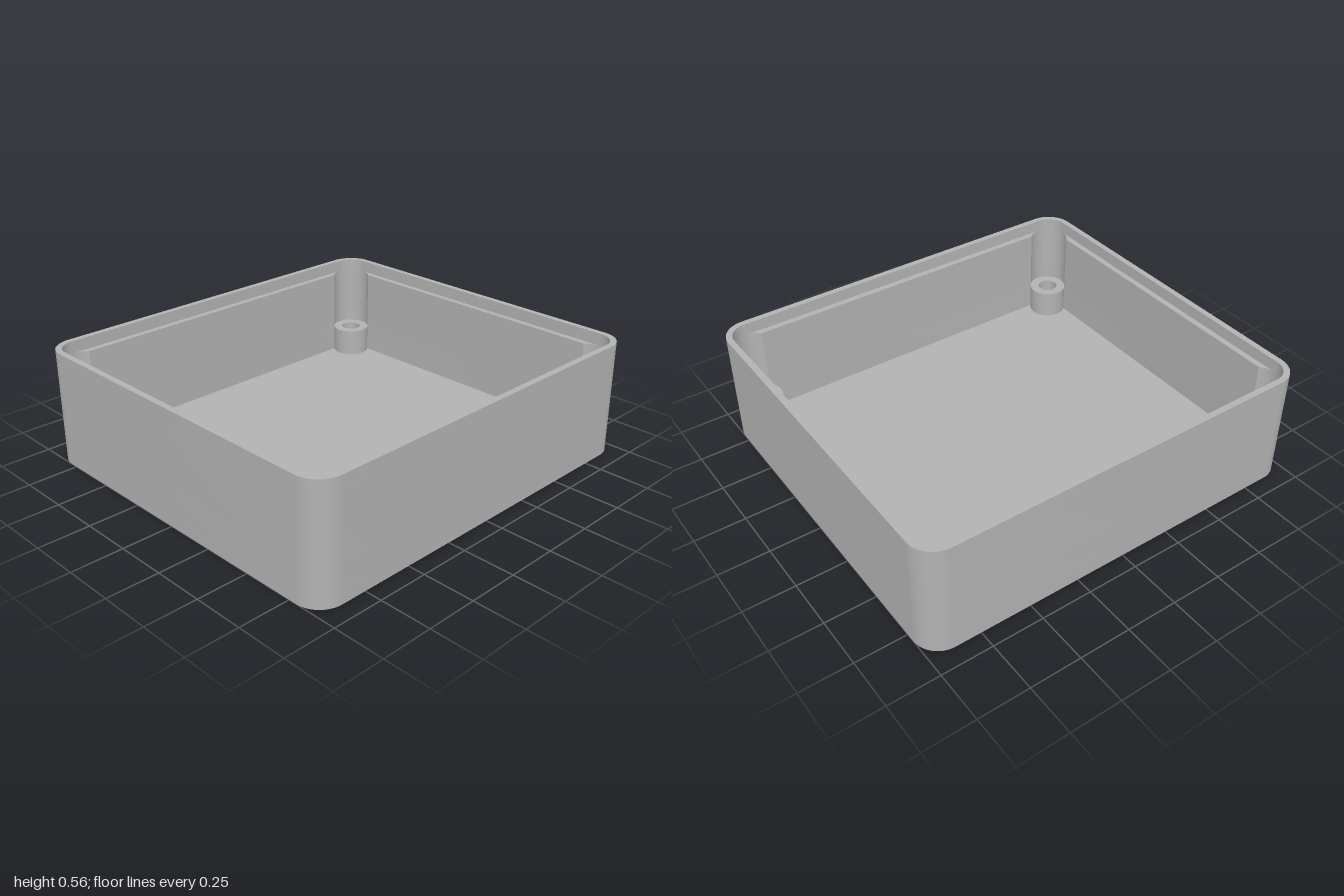
import * as THREE from 'three';
import { toCreasedNormals } from 'three/addons/utils/BufferGeometryUtils.js';

// Screw positions, which are also the centres of the rounded corners
const CX = 0.875, CZ = 0.79;
const FLOOR = 0.06, POST = 0.2, LEDGE = 0.505, TOP = 0.565;
const CORNER_R = 0.125, LIP_R = 0.095, WALL_R = 0.065, HOLE_R = 0.05, SINK_R = 0.09;
const corners = [[1, 1], [-1, 1], [-1, -1], [1, -1]];

// Rounded rectangle; spread lengthens each corner arc into a round pocket
function outline(path, radius, spread = 0) {
  corners.forEach(([sx, sz], i) => {
    const start = i * Math.PI / 2;
    path.absarc(sx * CX, sz * CZ, radius, start - spread, start + Math.PI / 2 + spread, false);
  });
  path.closePath();
  return path;
}

// Slab of the outer outline with the given holes, from height y0 to y1
function layer(holes, y0, y1) {
  const shape = outline(new THREE.Shape(), CORNER_R);
  shape.holes.push(...holes);
  const geo = new THREE.ExtrudeGeometry(shape, { depth: y1 - y0, bevelEnabled: false, curveSegments: 20 });
  geo.rotateX(-Math.PI / 2).translate(0, y0, 0);
  return toCreasedNormals(geo, 0.5);
}

export function createModel() {
  const group = new THREE.Group();
  group.name = 'enclosureBase';
  const plastic = new THREE.MeshStandardMaterial({ color: 0xb2b2b2 });
  plastic.name = 'grey plastic';

  const add = (name, geo) => {
    const mesh = new THREE.Mesh(geo, plastic);
    mesh.name = name;
    group.add(mesh);
    return mesh;
  };

  // Floor, opened at the countersinks
  const sinks = corners.map(([sx, sz]) =>
    new THREE.Path().absarc(sx * CX, sz * CZ, SINK_R, 0, Math.PI * 2, true));
  add('floor', layer(sinks, 0, FLOOR));

  // Walls: plain below the posts, with round corner pockets above them, then the thin lip
  const spread = Math.acos(WALL_R / LIP_R);
  add('lowerWall', layer([outline(new THREE.Path(), WALL_R)], FLOOR, POST));
  add('pocketWall', layer([outline(new THREE.Path(), LIP_R, spread)], POST, LEDGE));
  add('lip', layer([outline(new THREE.Path(), LIP_R)], LEDGE, TOP));

  // Screw posts with a through hole, countersunk from below
  const profile = [
    [LIP_R, 0.05], [LIP_R, POST], [HOLE_R, POST], [HOLE_R, 0.05], [SINK_R, 0],
  ].map(([x, y]) => new THREE.Vector2(x, y));
  const postGeo = toCreasedNormals(new THREE.LatheGeometry(profile, 48), 0.5);
  corners.forEach(([sx, sz]) => {
    const name = (sz > 0 ? 'front' : 'back') + (sx > 0 ? 'Left' : 'Right') + 'ScrewPost';
    add(name, postGeo).position.set(sx * CX, 0, sz * CZ);
  });

  return group;
}
